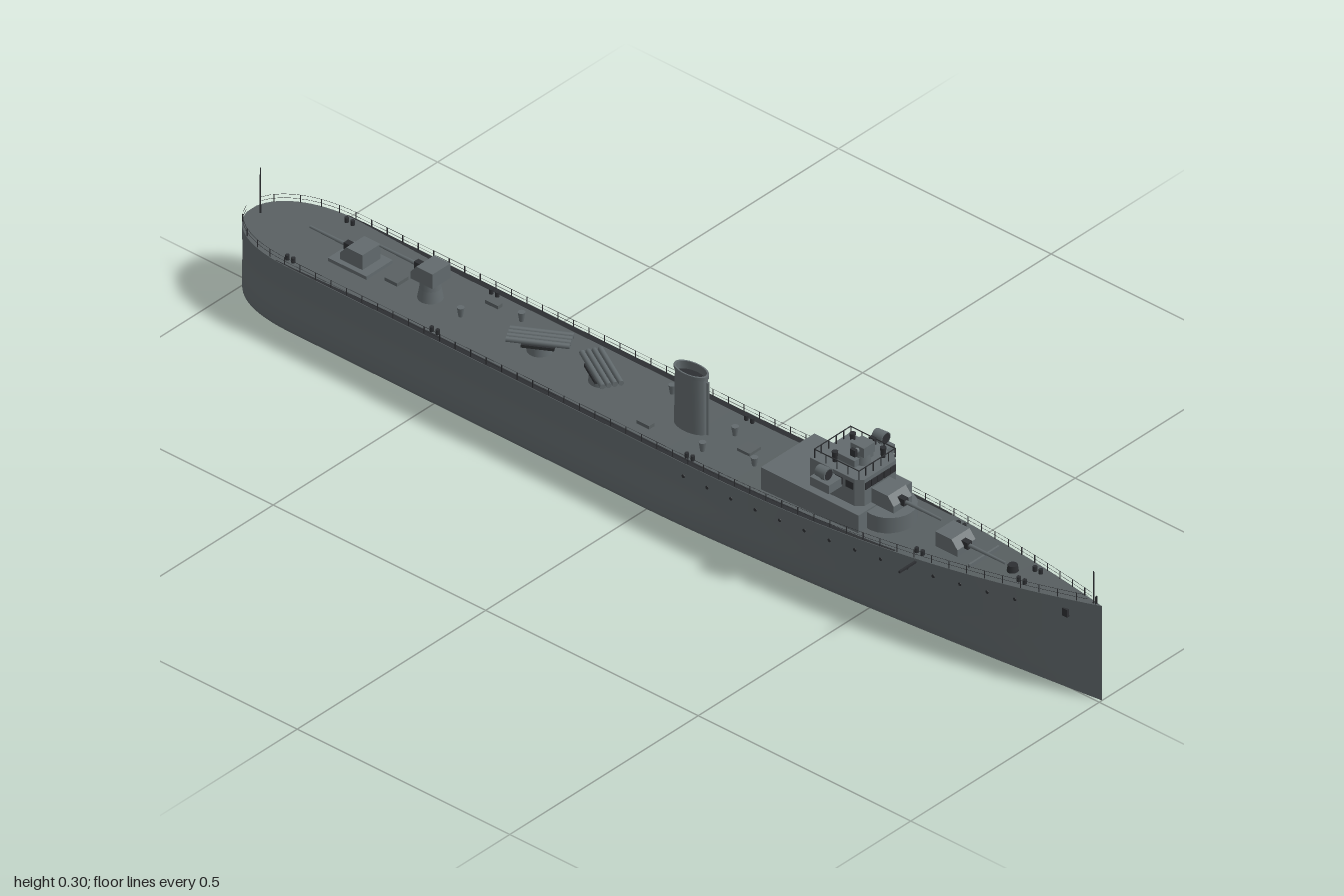
import * as THREE from 'three';
import { toCreasedNormals } from 'three/addons/utils/BufferGeometryUtils.js';

const mat = (name, color) => {
  const m = new THREE.MeshStandardMaterial({ color, side: THREE.DoubleSide });
  m.name = name;
  return m;
};

export function createModel() {
  const root = new THREE.Group();
  root.name = 'warship';
  const ship = new THREE.Group();
  ship.name = 'ship';
  ship.position.z = -0.0075;
  root.add(ship);

  const hullGrey = mat('hull grey', 0x626a6d);
  const deckGrey = mat('deck grey', 0x596062);
  const dark = mat('dark fittings', 0x2d2f32);

  // --- helpers ---
  const add = (name, geo, m, x = 0, y = 0, z = 0, parent = ship) => {
    const o = new THREE.Mesh(geo, m);
    o.name = name;
    o.position.set(x, y, z);
    parent.add(o);
    return o;
  };
  // box given by x range, y range and full width
  const block = (name, x0, x1, y0, y1, width, m = hullGrey, z = 0, parent = ship) =>
    add(name, new THREE.BoxGeometry(x1 - x0, y1 - y0, width), m, (x0 + x1) / 2, (y0 + y1) / 2, z, parent);
  const cyl = (name, r0, r1, h, m, x, y, z, sides = 16, parent = ship) =>
    add(name, new THREE.CylinderGeometry(r0, r1, h, sides), m, x, y + h / 2, z, parent);
  const lerp = THREE.MathUtils.lerp;
  const loft = (rows) => {
    const n = rows[0].length, idx = [];
    for (let i = 0; i < rows.length - 1; i++)
      for (let j = 0; j < n - 1; j++) {
        const a = i * n + j, b = a + n;
        idx.push(a, a + 1, b, b, a + 1, b + 1);
      }
    const g = new THREE.BufferGeometry();
    g.setAttribute('position', new THREE.Float32BufferAttribute(rows.flat(2), 3));
    g.setIndex(idx);
    g.computeVertexNormals();
    return toCreasedNormals(g, 0.6);
  };

  // --- hull lines ---
  const W = 0.097;
  const deckY = (x) => 0.15 + 0.05 * Math.pow(Math.max(0, (x - 0.05) / 0.95), 1.8);
  const halfWidth = (x, level = 1) => {
    if (x < -0.82) return W * Math.pow(Math.max(0, 1 - Math.pow((-0.82 - x) / 0.181, 2.4)), 0.5);
    const start = lerp(0.0, 0.2, level), power = lerp(1.6, 2.2, level);
    return W * (1 - Math.pow(Math.max(0, (x - start) / (1 - start)), power));
  };
  // width factor, height factor, blend between keel and deck plan
  const section = [[0.5, 0.025, 0], [0.9, 0.05, 0], [0.97, 0.08, 0.05], [1, 0.14, 0.1],
    [1, 0.4, 0.35], [0.975, 0.53, 0.55], [0.98, 0.75, 0.8], [1, 1, 1]];
  const xs = [];
  for (let i = 0; i <= 80; i++) {
    const t = i / 80;
    xs.push(t < 0.25 ? -1 + 0.25 * Math.pow(t / 0.25, 1.6) : -0.75 + 1.75 * (t - 0.25) / 0.75);
  }
  const rows = xs.map((x) => {
    const half = section.map(([w, h, level]) => {
      const b = halfWidth(x, level) * w;
      return [x, h > 0.06 ? h * deckY(x) : h * 0.15 * (b / W), b];
    });
    return [...half.slice().reverse(), [x, 0, 0], ...half.map(([a, b, c]) => [a, b, -c])];
  });
  add('hull', loft(rows), hullGrey);
  const stern = rows[0];
  add('transom', loft([0, 1, 2, 3, 4, 5, 6, 7].map((i) => [stern[i], stern[16 - i]])), hullGrey);
  add('deck', loft(xs.map((x) => [[x, deckY(x), -halfWidth(x)], [x, deckY(x), halfWidth(x)]])), deckGrey);

  // --- deck edges, railings, portholes, mooring gear on both sides ---
  const postGeo = new THREE.BoxGeometry(0.0014, 0.016, 0.0014);
  const portGeo = new THREE.CylinderGeometry(0.0035, 0.0035, 0.003, 10).rotateX(Math.PI / 2);
  for (const s of [1, -1]) {
    const strip = [];
    for (let x = -0.86; x <= 0.62; x += 0.04) {
      const w = halfWidth(x), taper = Math.min(1, (x + 0.9) / 0.3, (0.7 - x) / 0.35);
      strip.push([[x, deckY(x) + 0.001, s * w], [x, deckY(x) + 0.001, s * (w - 0.013 * taper)]]);
    }
    add('deckEdgeStrip', loft(strip), dark);

    const edge = (x, up) => new THREE.Vector3(x, deckY(x) + up, s * Math.max(0, halfWidth(x) - 0.002));
    for (let x = -0.985; x < 0.99; x += 0.0365) {
      const p = edge(x, 0.008);
      add('railPost', postGeo, dark, p.x, p.y, p.z);
    }
    for (const up of [0.008, 0.016]) {
      const curve = new THREE.CatmullRomCurve3(xs.slice(1, -1).map((x) => edge(x, up)));
      add('railWire', new THREE.TubeGeometry(curve, 90, 0.0004, 4), dark);
    }
    for (let x = 0.1; x < 0.88; x += 0.056) {
      const y = deckY(x) - 0.028;
      const b = lerp(halfWidth(x, 0.8) * 0.98, halfWidth(x), 0.25);
      add('porthole', portGeo, dark, x, y, s * b);
    }
    // anchor in its hawse
    const ax = 0.93;
    add('anchor', new THREE.BoxGeometry(0.012, 0.016, 0.006), dark, ax, 0.165, s * (halfWidth(ax, 0.85) + 0.001));
    for (const x of [-0.84, -0.5, 0.1, 0.62, 0.83])
      for (const d of [-0.007, 0.007])
        cyl('bollard', 0.004, 0.004, 0.01, dark, x + d, deckY(x), s * (halfWidth(x) - 0.018), 8);
  }

  // --- forward deckhouse and bridge ---
  block('deckhouse', 0.26, 0.49, 0.14, 0.2, 0.142);
  cyl('forwardGunPlatform', 0.05, 0.05, 0.055, hullGrey, 0.5, 0.142, 0, 24);
  const bridgeShape = new THREE.Shape();
  bridgeShape.moveTo(0.36, -0.053);
  bridgeShape.lineTo(0.465, -0.053);
  bridgeShape.lineTo(0.478, -0.042);
  bridgeShape.lineTo(0.478, 0.042);
  bridgeShape.lineTo(0.465, 0.053);
  bridgeShape.lineTo(0.36, 0.053);
  const bridgeGeo = new THREE.ExtrudeGeometry(bridgeShape, { depth: 0.057, bevelEnabled: false });
  add('bridge', bridgeGeo.rotateX(-Math.PI / 2), hullGrey, 0, 0.199, 0);
  for (let i = -2; i <= 2; i++)
    block('bridgeWindow', 0.4775, 0.4795, 0.234, 0.248, 0.0145, dark, i * 0.0165);
  for (const s of [1, -1]) {
    for (const x of [0.42, 0.445]) block('sideWindow', x, x + 0.017, 0.234, 0.248, 0.003, dark, s * 0.053);
    block('bridgeWing', 0.39, 0.435, 0.229, 0.247, 0.037, hullGrey, s * 0.069);
    cyl('searchlightStand', 0.004, 0.005, 0.008, dark, 0.412, 0.247, s * 0.076, 8);
    const lamp = add('searchlight', new THREE.CylinderGeometry(0.0125, 0.011, 0.024, 20), hullGrey, 0.412, 0.26, s * 0.076);
    lamp.rotation.z = -Math.PI / 2;
    add('searchlightGlass', new THREE.CircleGeometry(0.0105, 20).rotateY(Math.PI / 2), dark, 0.4245, 0.26, s * 0.076);
    // bridge roof rail
    block('roofRailSide', 0.365, 0.47, 0.2735, 0.275, 0.0015, dark, s * 0.048);
    for (let x = 0.366; x < 0.472; x += 0.026) block('roofRailPost', x, x + 0.0015, 0.256, 0.275, 0.0015, dark, s * 0.048);
  }
  for (const x of [0.365, 0.47]) {
    block('roofRailEnd', x, x + 0.0015, 0.2735, 0.275, 0.096, dark);
    for (let z = -0.03; z < 0.04; z += 0.02) block('roofRailPost', x, x + 0.0015, 0.256, 0.275, 0.0015, dark, z);
  }
  block('roofHouse', 0.39, 0.44, 0.255, 0.27, 0.05);
  cyl('directorPedestal', 0.012, 0.015, 0.024, hullGrey, 0.437, 0.255, 0, 16);
  block('director', 0.422, 0.453, 0.277, 0.297, 0.03);
  const finder = add('rangefinder', new THREE.CylinderGeometry(0.005, 0.005, 0.05, 12), hullGrey, 0.438, 0.288, 0);
  finder.rotation.x = Math.PI / 2;
  for (const s of [1, -1]) block('rangefinderEnd', 0.432, 0.444, 0.281, 0.295, 0.007, dark, s * 0.025);
  for (const [x, z] of [[0.385, -0.032], [0.4, 0.032], [0.455, -0.034]])
    cyl('bridgeInstrument', 0.006, 0.004, 0.021, dark, x, 0.256, z, 10);

  // --- main guns: sloped shield, pedestal and barrel ---
  const shield = new THREE.Shape();
  [[-0.026, 0], [0.026, 0], [0.026, 0.014], [0.012, 0.031], [-0.026, 0.031]]
    .forEach(([x, y], i) => (i ? shield.lineTo(x, y) : shield.moveTo(x, y)));
  const shieldGeo = new THREE.ExtrudeGeometry(shield, { depth: 0.048, bevelEnabled: false }).translate(0, 0, -0.024);
  const gun = (name, x, y, facing) => {
    const g = new THREE.Group();
    g.name = name;
    g.position.set(x, y, 0);
    if (facing < 0) g.rotation.y = Math.PI;
    ship.add(g);
    add('gunShield', shieldGeo, hullGrey, 0, 0, 0, g);
    cyl('gunBase', 0.018, 0.02, 0.02, hullGrey, 0, -0.018, 0, 16, g);
    const barrel = add('gunBarrel', new THREE.CylinderGeometry(0.0025, 0.004, 0.1, 10), hullGrey, 0.068, 0.016, 0, g);
    barrel.rotation.z = -Math.PI / 2;
    block('gunCollar', 0.018, 0.034, 0.009, 0.023, 0.012, dark, 0, g);
  };
  gun('foredeckGun', 0.655, 0.174, 1);
  gun('bridgeFrontGun', 0.505, 0.199, 1);
  gun('upperAftGun', -0.58, 0.19, -1);
  gun('sternGun', -0.745, 0.157, -1);
  cyl('aftGunPlatform', 0.017, 0.024, 0.04, hullGrey, -0.58, 0.148, 0, 20);
  block('aftDeckPlate', -0.79, -0.7, 0.148, 0.157, 0.07);

  // --- funnel ---
  const funnelGeo = new THREE.LatheGeometry([[0.0375, 0.14], [0.0355, 0.265], [0.038, 0.265], [0.038, 0.272],
    [0.033, 0.272], [0.033, 0.255], [0, 0.255]].map(([r, y]) => new THREE.Vector2(r, y)), 32);
  const funnel = add('funnel', toCreasedNormals(funnelGeo, 0.6), hullGrey, 0.034, 0, 0);
  funnel.scale.z = 0.52;
  const mouth = add('funnelMouth', new THREE.CircleGeometry(0.033, 32).rotateX(-Math.PI / 2), dark, 0.034, 0.256, 0);
  mouth.scale.z = 0.52;
  const steamPipe = cyl('steamPipe', 0.003, 0.003, 0.11, hullGrey, 0.075, 0.15, 0, 8);
  steamPipe.position.x = 0.073;

  // --- torpedo tube banks ---
  for (const [x, turn] of [[-0.325, 0.52], [-0.18, -0.52]]) {
    const bank = new THREE.Group();
    bank.name = 'torpedoBank';
    bank.position.set(x, 0.15, -0.003);
    bank.rotation.y = turn;
    ship.add(bank);
    cyl('turntable', 0.022, 0.024, 0.018, hullGrey, 0, 0, 0, 20, bank);
    block('tubeCradle', -0.03, 0.03, 0.016, 0.022, 0.046, dark, 0, bank);
    for (let i = -1.5; i <= 1.5; i++) {
      const tube = add('torpedoTube', new THREE.CylinderGeometry(0.0052, 0.0052, 0.115, 12), hullGrey, 0, 0.027, i * 0.0115, bank);
      tube.rotation.z = Math.PI / 2;
    }
  }

  // --- small deck fittings ---
  for (const [x, z] of [[-0.5, 0.01], [-0.41, -0.05], [0.11, -0.03], [0.1, 0.045], [-0.06, -0.055], [0.2, 0.02]])
    cyl('ventilator', 0.007, 0.004, 0.02, hullGrey, x, 0.149, z, 10);
  for (const [x, z, w] of [[-0.48, -0.055, 0.012], [-0.66, 0, 0.03], [0.16, -0.01, 0.03], [-0.03, 0.05, 0.014]])
    block('hatch', x - 0.015, x + 0.015, 0.148, 0.157, w, deckGrey, z);
  cyl('capstan', 0.009, 0.011, 0.013, dark, 0.79, deckY(0.79), 0, 12);
  block('breakwater', 0.72, 0.724, deckY(0.72) - 0.004, deckY(0.72) + 0.008, 0.08);

  // --- flagstaffs and side boom ---
  cyl('bowStaff', 0.0012, 0.0015, 0.068, dark, 0.98, 0.197, 0, 6);
  cyl('sternStaff', 0.0012, 0.0015, 0.095, dark, -0.98, 0.15, 0, 6);
  block('sideBoom', 0.623, 0.627, 0.161, 0.165, 0.045, dark, 0.093);
  return root;
}
